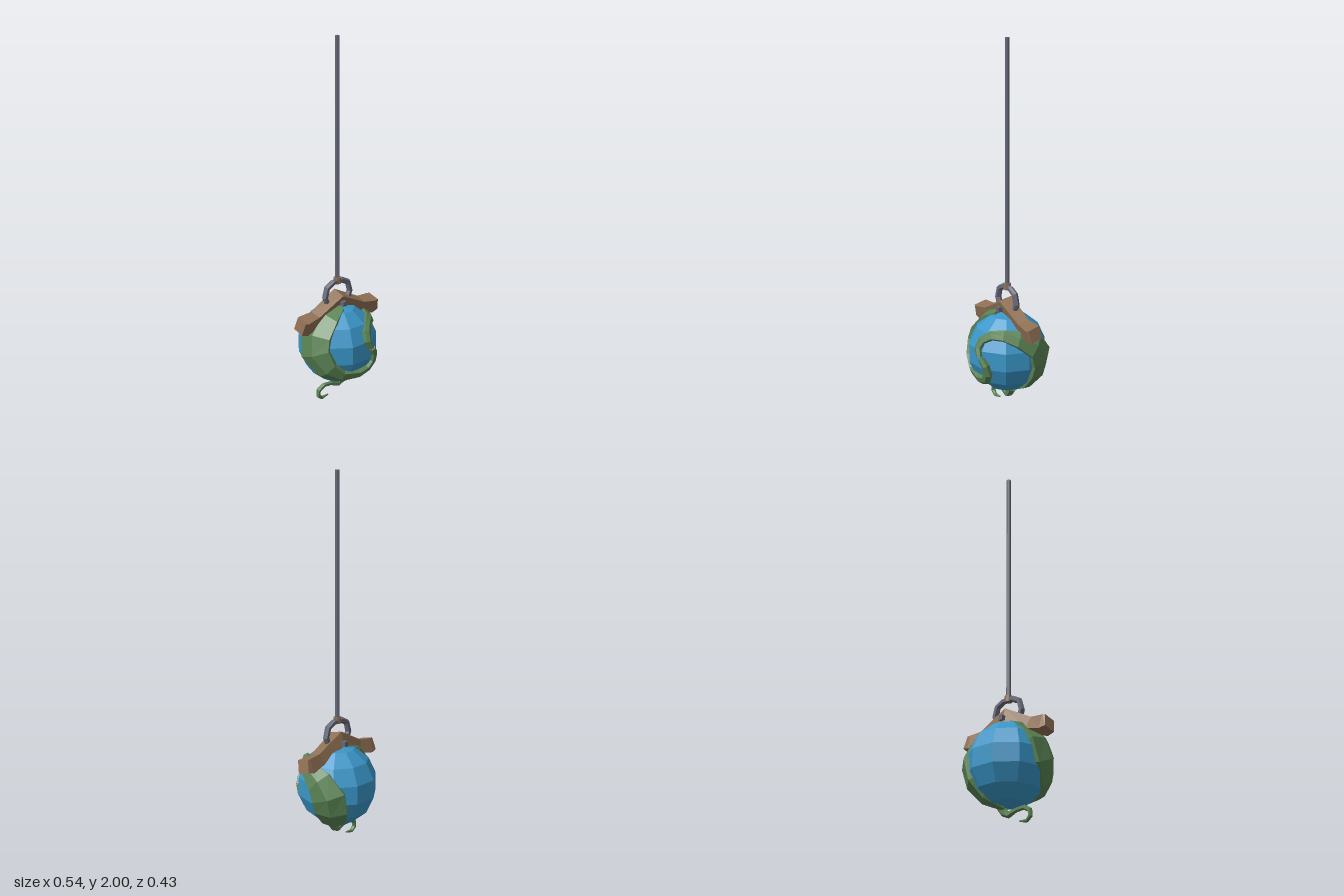
import * as THREE from 'three';

const Z = -0.013; // depth of the hanging axis
const CENTER = new THREE.Vector3(0, 0.322, Z);

const mat = (name, color) => {
  const m = new THREE.MeshStandardMaterial({ color, flatShading: true });
  m.name = name;
  return m;
};

// Skins a list of equal-length rings (counter-clockwise about the path) and caps both ends
function loft(rings) {
  const pos = [];
  const tri = (...pts) => pts.forEach((p) => pos.push(p.x, p.y, p.z));
  const n = rings[0].length;
  for (let i = 0; i < rings.length - 1; i++) {
    for (let j = 0; j < n; j++) {
      const k = (j + 1) % n;
      const a = rings[i][j], b = rings[i][k], c = rings[i + 1][k], d = rings[i + 1][j];
      tri(a, b, c);
      tri(a, c, d);
    }
  }
  const first = rings[0], last = rings[rings.length - 1];
  for (let j = 1; j < n - 1; j++) {
    tri(first[0], first[j + 1], first[j]);
    tri(last[0], last[j], last[j + 1]);
  }
  const g = new THREE.BufferGeometry();
  g.setAttribute('position', new THREE.Float32BufferAttribute(pos, 3));
  g.computeVertexNormals();
  return g;
}

const tangent = (pts, i) => pts[Math.min(i + 1, pts.length - 1)].clone()
  .sub(pts[Math.max(i - 1, 0)]).normalize();

// Tapered bar along a path in the xy plane; each entry is [x, y, radius]
function bar(path, sides, phase = 0) {
  const pts = path.map(([x, y]) => new THREE.Vector3(x, y, Z));
  return loft(pts.map((p, i) => {
    const t = tangent(pts, i);
    const r = path[i][2];
    return Array.from({ length: sides }, (_, j) => {
      const a = phase + (j / sides) * Math.PI * 2;
      return new THREE.Vector3(
        p.x - t.y * Math.cos(a) * r, p.y + t.x * Math.cos(a) * r, Z + Math.sin(a) * r);
    });
  }));
}

// Leaf band hugging the ball; each entry is [x, y, z, half width]
function vine(path) {
  const dirs = path.map(([x, y, z]) => new THREE.Vector3(x, y, z).sub(CENTER).normalize());
  return loft(dirs.map((d, i) => {
    const side = tangent(dirs, i).cross(d).normalize();
    const w = path[i][3] / 0.23;
    const at = (angle, r) => d.clone().multiplyScalar(Math.cos(angle) * r)
      .addScaledVector(side, Math.sin(angle) * r).add(CENTER);
    return [at(0, 0.238), at(w * 0.9, 0.23), at(w, 0.195), at(-w, 0.195), at(-w * 0.9, 0.23)];
  }));
}

export function createModel() {
  const blue = mat('blue glaze', 0x3a96c8);
  const green = mat('leaf green', 0x5a8354);
  const wood = mat('brown wood', 0x8f7054);
  const steel = mat('grey steel', 0x666877);

  const group = new THREE.Group();
  const add = (name, geometry, material, x = 0, y = 0, z = 0) => {
    const mesh = new THREE.Mesh(geometry, material);
    mesh.name = name;
    mesh.position.set(x, y, z);
    group.add(mesh);
    return mesh;
  };

  // Ball
  add('ball', new THREE.SphereGeometry(0.217, 10, 7), blue, 0, CENTER.y, Z).scale.y = 1.03;

  // Hanging rod, with a collar where it meets the handle
  add('rod', new THREE.CylinderGeometry(0.012, 0.012, 1.33, 6), steel, 0, 1.335, Z);
  add('collar', new THREE.CylinderGeometry(0.02, 0.02, 0.035, 8), wood, 0, 0.68, Z);

  // Arched handle
  const halfArch = [[0.073, 0.565, 0.017], [0.087, 0.6, 0.017], [0.072, 0.652, 0.017], [0.03, 0.674, 0.017]];
  const mirror = (pts) => pts.map(([x, ...rest]) => [-x, ...rest]).reverse();
  add('handle', bar([...halfArch, ...mirror(halfArch)], 6), steel);

  // Wooden yoke
  const halfYoke = [[0.262, 0.485, 0.05], [0.235, 0.48, 0.056], [0.15, 0.498, 0.046]];
  add('yoke', bar([...mirror(halfYoke).reverse(), [0, 0.573, 0.056],
    ...[...halfYoke].reverse()], 4, Math.PI / 4 + 0.25), wood);

  // Pin through the yoke
  add('pin', new THREE.BoxGeometry(0.024, 0.026, 0.13), steel, 0, 0.56, -0.015);

  // Two leaf bands, each narrowing into a curl on the front
  add('rightLeaf', vine([
    [-0.02, 0.55, 0.005, 0.06], [-0.11, 0.51, 0.01, 0.1], [-0.19, 0.42, 0.02, 0.11],
    [-0.21, 0.32, 0.04, 0.11], [-0.17, 0.23, 0.1, 0.08], [-0.1, 0.185, 0.14, 0.05],
    [0, 0.18, 0.17, 0.032], [0.065, 0.2, 0.17, 0.027], [0.095, 0.245, 0.18, 0.024],
    [0.09, 0.295, 0.19, 0.021], [0.065, 0.335, 0.2, 0.016],
  ]), green);
  add('leftLeaf', vine([
    [0.02, 0.1, -0.02, 0.02], [0.1, 0.14, -0.08, 0.07], [0.17, 0.21, -0.12, 0.1],
    [0.19, 0.31, -0.12, 0.105], [0.185, 0.39, -0.06, 0.08], [0.175, 0.44, 0.03, 0.05],
    [0.135, 0.465, 0.1, 0.032], [0.085, 0.465, 0.15, 0.026], [0.045, 0.43, 0.18, 0.024],
    [0.035, 0.385, 0.2, 0.022], [0.055, 0.34, 0.2, 0.016],
  ]), green);

  // Curling stem below the ball
  add('stem', bar([
    [0.045, 0.115, 0.028], [0.025, 0.08, 0.022], [0, 0.065, 0.018], [-0.045, 0.08, 0.013],
    [-0.1, 0.085, 0.013], [-0.135, 0.065, 0.013], [-0.138, 0.035, 0.012],
    [-0.115, 0.014, 0.01], [-0.07, 0.02, 0.004],
  ], 6), green);

  return group;
}
